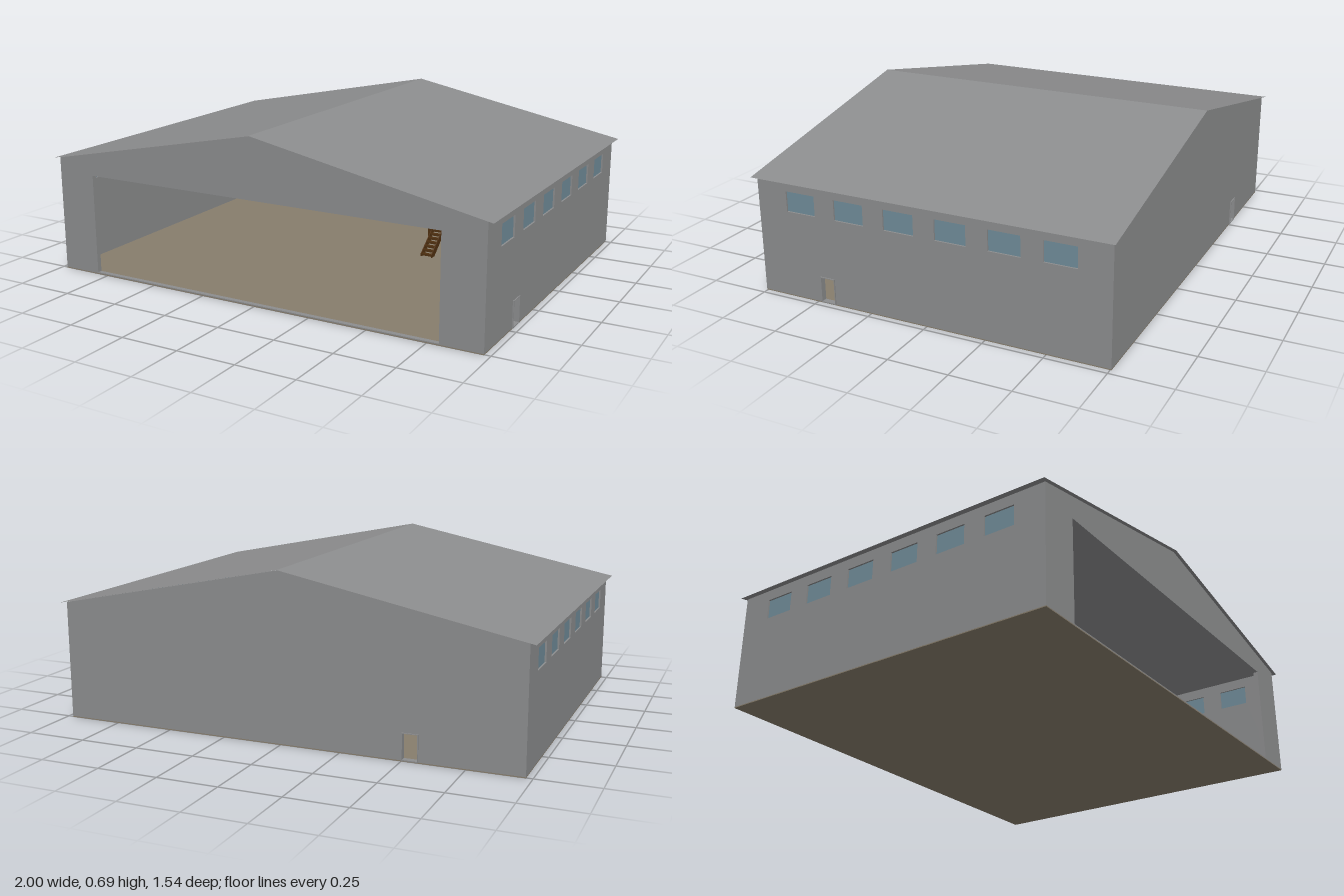
import * as THREE from 'three';

const D = THREE.DoubleSide;
const grey = new THREE.MeshStandardMaterial({ name: 'greyCladding', color: 0x8c8d8e, side: D });
const tan = new THREE.MeshStandardMaterial({ name: 'tanFloor', color: 0x877d6c });
const brown = new THREE.MeshStandardMaterial({ name: 'brownTimber', color: 0x4f3010 });
const blue = new THREE.MeshStandardMaterial({ name: 'blueGlass', color: 0x708c99 });

const W = 0.975, L = 0.755, T = 0.02, EAVE = 0.495, RIDGE = 0.69, BASE = 0.004, FLOOR = 0.008;

function add(parent, name, geo, mat, x = 0, y = 0, z = 0) {
  const m = new THREE.Mesh(geo, mat);
  m.name = name;
  m.position.set(x, y, z);
  parent.add(m);
  return m;
}

// Box given by its limits on each axis
function span(parent, name, mat, x0, x1, y0, y1, z0, z1) {
  return add(parent, name, new THREE.BoxGeometry(x1 - x0, y1 - y0, z1 - z0), mat,
    (x0 + x1) / 2, (y0 + y1) / 2, (z0 + z1) / 2);
}

const polygon = pts => new THREE.Shape(pts.map(p => new THREE.Vector2(...p)));
const rect = (u0, u1, v0, v1) => [[u0, v0], [u1, v0], [u1, v1], [u0, v1]];

// Wall panel with rectangular holes, each [u0, u1, v0, v1]
function panel(points, holes, depth = T) {
  const s = polygon(points);
  for (const h of holes) s.holes.push(polygon(rect(...h)));
  return new THREE.ExtrudeGeometry(s, { depth, bevelEnabled: false });
}

// Thin raised surround for a doorway
function doorFrame(u0, u1, top) {
  const e = 0.003;
  return panel(rect(u0 - e, u1 + e, BASE, top + e), [[u0, u1, FLOOR, top]], 0.005);
}

function buildShell(g) {
  // Floor
  span(g, 'foundation', tan, -W, W, 0, BASE, -L, L);
  span(g, 'floor', tan, -W + T, W - T, BASE, FLOOR, -L + T, L - T);

  // Gable walls
  const gable = [[-W, BASE], [W, BASE], [W, EAVE], [0, RIDGE], [-W, EAVE]];
  const backDoor = [-0.565, -0.505, FLOOR, 0.11];
  add(g, 'frontWall', panel(gable, [[-0.8, 0.8, FLOOR, 0.435]]), grey, 0, 0, L - T);
  add(g, 'backWall', panel(gable, [backDoor]), grey, 0, 0, -L);
  add(g, 'backDoorFrame', doorFrame(-0.565, -0.505, 0.11), grey, 0, 0, -L - 0.005);

  // Side walls with a row of high windows
  const windows = [];
  for (let i = 0; i < 6; i++) {
    const z = -0.555 + i * 0.222;
    windows.push([z - 0.066, z + 0.066, 0.365, 0.45]);
  }
  const sideDoor = [0.417, 0.477, FLOOR, 0.11];
  for (const side of [1, -1]) {
    const label = side > 0 ? 'left' : 'right';
    const holes = side > 0 ? [...windows, sideDoor] : windows;
    const wall = panel(rect(-L + T, L - T, BASE, EAVE), holes).rotateY(-Math.PI / 2);
    add(g, label + 'Wall', wall, grey, side > 0 ? W : -W + T);
    for (const [z0, z1, y0, y1] of windows) {
      const x = side * (W - T / 2);
      span(g, label + 'WindowPane', blue, x - 0.003, x + 0.003, y0, y1, z0, z1);
    }
  }
  add(g, 'leftDoorFrame', doorFrame(0.417, 0.477, 0.11).rotateY(-Math.PI / 2), grey, W + 0.005);

  // Thin folded roof sheet
  const sheet = new THREE.PlaneGeometry(2, 1.536, 2, 1).rotateX(-Math.PI / 2);
  const p = sheet.attributes.position;
  for (let i = 0; i < p.count; i++) p.setY(i, RIDGE + 0.003 - 0.2 * Math.abs(p.getX(i)));
  const roof = sheet.toNonIndexed();
  roof.computeVertexNormals();
  add(g, 'roof', roof, grey);
}

function buildMezzanine(g) {
  const x0 = 0.263, x1 = W - T, z0 = -L + T, z1 = -0.3;
  const deckY = 0.152, deckTop = 0.164, railTop = 0.207;
  span(g, 'mezzanineDeck', brown, x0, x1, deckY, deckTop, z0, z1);

  // Columns
  for (let i = 0; i < 5; i++) {
    for (let j = 0; j < 3; j++) {
      const x = 0.272 + i * 0.1735 - (i === 4 ? 0.02 : 0);
      const z = z1 - 0.008 - j * 0.21;
      span(g, 'mezzanineColumn', brown, x - 0.007, x + 0.007, FLOOR, deckY, z - 0.007, z + 0.007);
    }
  }

  // Solid railings with a gap at the stair
  const s0 = 0.318, s1 = 0.372;
  span(g, 'frontRailing', brown, x0, s0, deckTop, railTop, z1 - 0.008, z1);
  span(g, 'frontRailing', brown, s1, x1, deckTop, railTop, z1 - 0.008, z1);
  span(g, 'sideRailing', brown, x0, x0 + 0.008, deckTop, railTop, z0, z1 - 0.008);

  // Stair
  const n = 11, rise = (deckTop - FLOOR) / n, run = 0.017;
  for (let i = 0; i < n; i++) {
    const top = FLOOR + (i + 1) * rise, front = z1 + (n - i) * run;
    span(g, 'stairTread', brown, s0 + 0.004, s1 - 0.004, top - 0.004, top, front - run, front);
    span(g, 'stairRiser', brown, s0 + 0.004, s1 - 0.004, top - rise, top - 0.004, front - run, front - run + 0.003);
  }
  const foot = z1 + n * run;
  const stringer = panel([[z1, deckTop - 0.03], [foot - 0.03, FLOOR], [foot, FLOOR],
    [foot, FLOOR + rise], [z1, deckTop]], [], 0.004).rotateY(-Math.PI / 2);
  for (const x of [s0 + 0.004, s1]) add(g, 'stairStringer', stringer, brown, x);
}

export function createModel() {
  const model = new THREE.Group();
  model.name = 'warehouse';
  for (const [name, build] of [['shell', buildShell], ['mezzanine', buildMezzanine]]) {
    const g = new THREE.Group();
    g.name = name;
    build(g);
    model.add(g);
  }
  return model;
}
